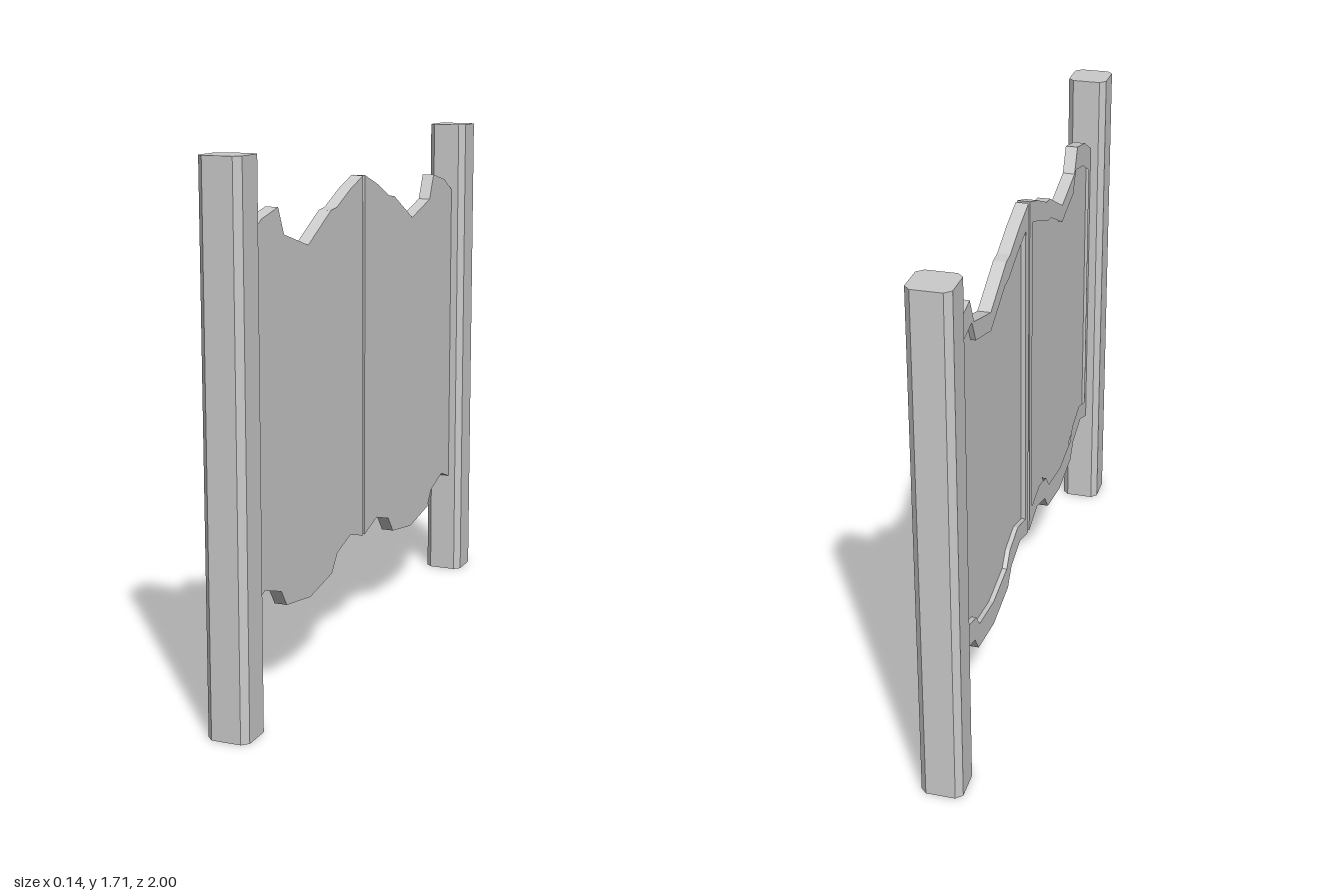
import * as THREE from 'three';

const material = new THREE.MeshStandardMaterial({ color: 0xcccccc, flatShading: true });

// Door outline as [distance from the middle, height]
const topEdge = [[0, 1.585], [0.105, 1.55], [0.22, 1.5], [0.265, 1.495], [0.44, 1.405],
  [0.615, 1.455], [0.655, 1.54], [0.77, 1.515], [0.87, 1.46]];
const bottomEdge = [[0.87, 0.365], [0.77, 0.4], [0.655, 0.363], [0.617, 0.308], [0.44, 0.28],
  [0.265, 0.308], [0.22, 0.365], [0.11, 0.397], [0, 0.365]];
const GAP = 0.015;

function addMesh(parent, geometry, name) {
  const mesh = new THREE.Mesh(geometry, material);
  mesh.name = name;
  parent.add(mesh);
  return mesh;
}

// Outline for one door; side is +1 or -1 along z, scaled about the door centre
function outline(side, scaleZ = 1, scaleY = 1) {
  return [...topEdge, ...bottomEdge].map(([d, y]) => {
    const u = 0.435 + (d - 0.435) * scaleZ;
    const v = 0.94 + (y - 0.94) * scaleY;
    return new THREE.Vector2(side > 0 ? u : -u - GAP, v);
  });
}

// Slab whose outline lies in z/y, reaching from xFront towards -x
function slab(shape, xFront, depth) {
  return new THREE.ExtrudeGeometry(shape, { depth, bevelEnabled: false })
    .rotateY(-Math.PI / 2)
    .translate(xFront, 0, 0);
}

function makeDoor(side) {
  const door = new THREE.Group();
  door.name = side > 0 ? 'frontDoor' : 'backDoor';
  // Flat panel, with a raised rim on the -x side
  addMesh(door, slab(new THREE.Shape(outline(side)), 0.022, 0.026), 'doorPanel');
  const rim = new THREE.Shape(outline(side));
  rim.holes.push(new THREE.Path(outline(side, 0.92, 0.87)));
  addMesh(door, slab(rim, -0.004, 0.016), 'doorRim');
  return door;
}

// Square post with chamfered corners
function postGeometry() {
  const h = 0.0675, c = 0.0475;
  const shape = new THREE.Shape([[h, -c], [h, c], [c, h], [-c, h], [-h, c], [-h, -c], [-c, -h], [c, -h]]
    .map(([x, y]) => new THREE.Vector2(x, y)));
  return new THREE.ExtrudeGeometry(shape, { depth: 1.71, bevelEnabled: false }).rotateX(-Math.PI / 2);
}

export function createModel() {
  const model = new THREE.Group();
  model.name = 'swingDoors';
  for (const side of [1, -1]) {
    const post = addMesh(model, postGeometry(), side > 0 ? 'frontPost' : 'backPost');
    post.position.z = side * 0.9325;
    model.add(makeDoor(side));
  }
  return model;
}
